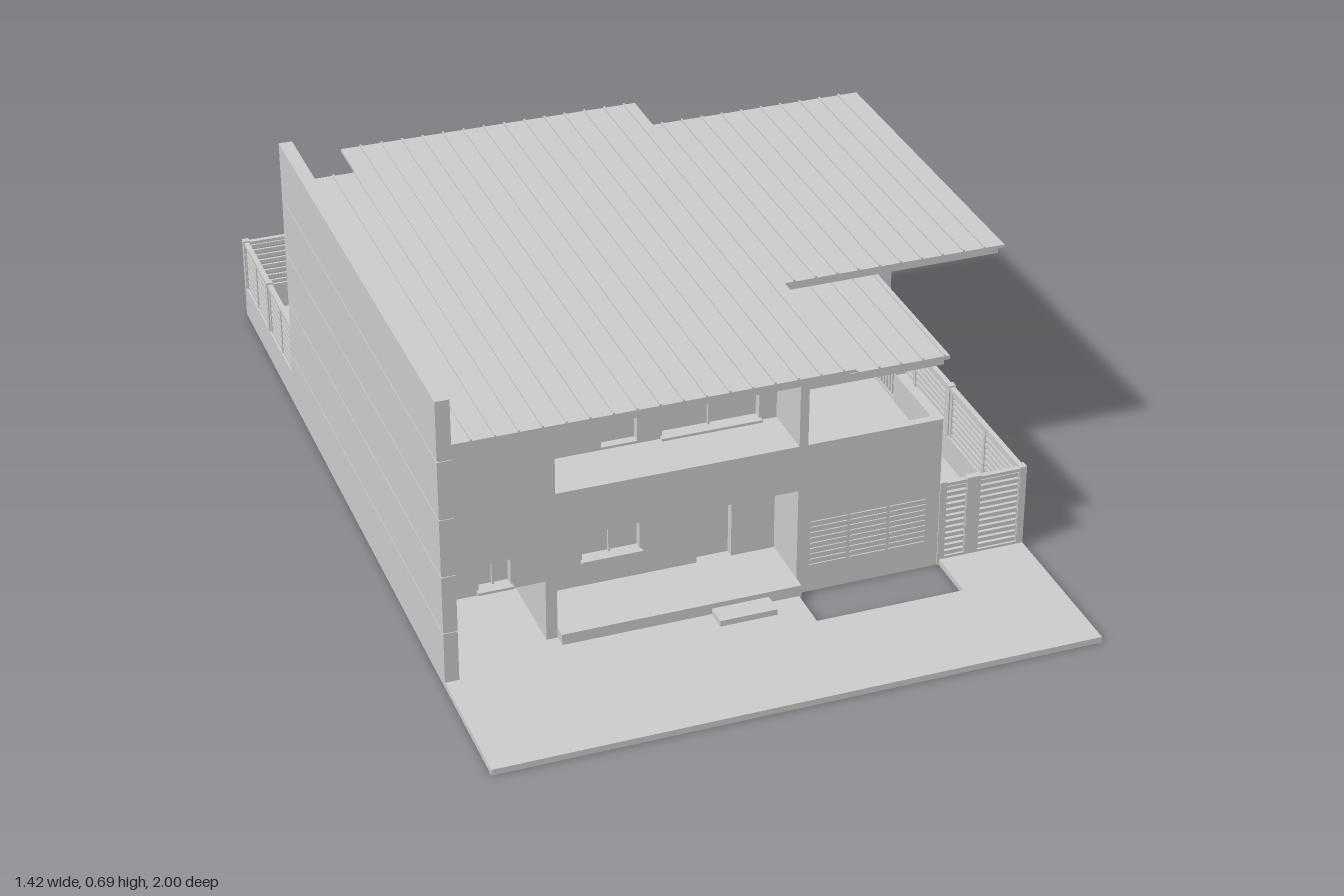
import * as THREE from 'three';

const mat = new THREE.MeshStandardMaterial({ color: 0xcccccc, flatShading: true });
const T = 0.02; // wall thickness

function add(parent, name, geo) {
  const m = new THREE.Mesh(geo, mat);
  m.name = name;
  parent.add(m);
  return m;
}

// box given by its min/max on each axis
function box(parent, name, x0, x1, y0, y1, z0, z1) {
  const m = add(parent, name, new THREE.BoxGeometry(x1 - x0, y1 - y0, z1 - z0));
  m.position.set((x0 + x1) / 2, (y0 + y1) / 2, (z0 + z1) / 2);
  return m;
}

function rectPath(Type, x0, x1, y0, y1) {
  const p = new Type();
  p.moveTo(x0, y0); p.lineTo(x1, y0); p.lineTo(x1, y1); p.lineTo(x0, y1); p.closePath();
  return p;
}

// horizontal plate from an outline of [x, z] points
function plate(parent, name, pts, y0, y1, hole) {
  const s = new THREE.Shape(pts.map(([x, z]) => new THREE.Vector2(x, -z)));
  if (hole) s.holes.push(rectPath(THREE.Path, hole[0], hole[1], -hole[3], -hole[2]));
  const g = new THREE.ExtrudeGeometry(s, { depth: y1 - y0, bevelEnabled: false });
  g.rotateX(-Math.PI / 2);
  add(parent, name, g).position.y = y0;
}

// wall panel facing front, back or right; openings are [a0, a1, y0, y1, isWindow]
function wall(parent, name, facing, at, a0, a1, y0, y1, openings = []) {
  const g = new THREE.Group();
  g.name = name;
  const span = (p, q) => (facing === 'front' ? [p, q] : [-q, -p]);
  const shape = rectPath(THREE.Shape, ...span(a0, a1), y0, y1);
  for (const [p, q, b, t, isWindow] of openings) {
    const [u0, u1] = span(p, q);
    shape.holes.push(rectPath(THREE.Path, u0, u1, b, t));
    if (!isWindow) continue;
    const m = (u0 + u1) / 2;
    box(g, 'windowSill', u0 - 0.004, u1 + 0.004, b - 0.006, b, -T, 0.012);
    box(g, 'windowMullion', m - 0.002, m + 0.002, b, t, -T, -0.012);
    box(g, 'windowTransom', u0, u1, t - 0.004, t, -T, -0.012);
  }
  const geo = new THREE.ExtrudeGeometry(shape, { depth: T, bevelEnabled: false });
  geo.translate(0, 0, -T);
  add(g, name + 'Panel', geo);
  g.rotation.y = { front: 0, back: Math.PI, right: Math.PI / 2 }[facing];
  if (facing === 'right') g.position.x = at; else g.position.z = at;
  parent.add(g);
}

// slatted fence from (x0,z0) to (x1,z1) on a solid base
function fence(parent, name, x0, z0, x1, z1, panels, base, split = true) {
  const g = new THREE.Group();
  g.name = name;
  const L = Math.hypot(x1 - x0, z1 - z0), w = L / panels, top = 0.21;
  box(g, 'fenceBase', 0, L, 0, base, -0.008, 0.008);
  for (let i = 0; i <= panels; i++) {
    const c = Math.min(Math.max(i * w, 0.008), L - 0.008);
    box(g, 'fencePost', c - 0.008, c + 0.008, base, top, -0.008, 0.008);
  }
  const rows = Math.round((top - base) / 0.0165), pitch = (top - base - 0.01) / rows;
  for (let i = 0; i < panels; i++) {
    const a = i * w + 0.008, b = a + w - 0.016, m = (a + b) / 2;
    box(g, 'fenceTopRail', a, b, top - 0.012, top - 0.004, -0.006, 0.006);
    for (const c of split ? [a + 0.006, m, b - 0.006] : [a + 0.004, b - 0.004])
      box(g, 'fenceStile', c - 0.005, c + 0.005, base, top - 0.01, -0.005, 0.005);
    for (let r = 0; r < rows; r++) {
      const y = base + r * pitch;
      box(g, 'fenceSlat', a, b, y, y + pitch * 0.62, -0.003, 0.003);
    }
  }
  g.position.set(x0, 0, z0);
  g.rotation.y = -Math.atan2(z1 - z0, x1 - x0);
  parent.add(g);
}

export function createModel() {
  const house = new THREE.Group();
  house.name = 'house';

  // ground slab with planting opening
  plate(house, 'groundSlab', [[-0.71, 1], [0.635, 1], [0.635, -1], [-0.71, -1]], 0, 0.014, [0.095, 0.435, 0.61, 0.74]);

  // tall party wall made of stacked panels with thin joints
  box(house, 'partyWallCore', -0.707, -0.68, 0, 0.683, -0.532, 0.683);
  for (let i = 0; i < 5; i++)
    box(house, 'partyWallPanel', -0.71, -0.679, i * 0.137, (i + 1) * 0.137 - (i < 4 ? 0.003 : 0), -0.535, 0.685);

  // solid inner volumes that also act as the glazing behind the wall openings
  const core = (...b) => box(house, 'innerVolume', ...b);
  core(-0.68, 0.1, 0, 0.56, -0.435, 0.2);
  core(-0.44, 0.1, 0, 0.56, 0.2, 0.46);
  core(-0.68, -0.44, 0.16, 0.56, 0.2, 0.59);
  core(0.1, 0.41, 0, 0.56, -0.435, 0.21);
  core(0.1, 0.41, 0, 0.3, 0.21, 0.59);
  core(0.1, 0.12, 0.3, 0.56, 0.21, 0.59);
  core(0.41, 0.62, 0, 0.56, -0.435, -0.16);
  box(house, 'porchColumn', -0.465, -0.44, 0, 0.26, 0.2, 0.6);
  box(house, 'floorBand', -0.44, 0.1, 0.26, 0.37, 0.46, 0.6);
  box(house, 'loggiaCeiling', -0.44, 0.1, 0.52, 0.56, 0.46, 0.6);

  // front walls
  wall(house, 'frontWall', 'front', 0.61, -0.69, 0.12, 0, 0.56, [
    [-0.68, -0.465, 0.006, 0.16], [-0.44, 0.1, 0.006, 0.26],
    [-0.44, 0.1, 0.37, 0.52], [-0.61, -0.54, 0.172, 0.232, true]]);
  wall(house, 'porchBackWall', 'front', 0.48, -0.44, 0.1, 0, 0.26,
    [[-0.34, -0.21, 0.106, 0.22, true], [-0.08, 0, 0.04, 0.22]]);
  wall(house, 'loggiaBackWall', 'front', 0.48, -0.44, 0.1, 0.37, 0.52,
    [[-0.295, -0.215, 0.376, 0.48], [-0.16, 0.06, 0.376, 0.48, true]]);
  wall(house, 'lowerFrontWall', 'front', 0.61, 0.12, 0.43, 0, 0.37);
  wall(house, 'balconyBackWall', 'front', 0.23, 0.12, 0.43, 0.3, 0.56, [[0.16, 0.36, 0.305, 0.47]]);
  wall(house, 'wingFrontWall', 'front', -0.14, 0.43, 0.64, 0, 0.56,
    [[0.5, 0.56, 0.365, 0.42, true], [0.5, 0.56, 0.105, 0.17, true]]);

  // right walls
  wall(house, 'rightWall', 'right', 0.43, -0.16, 0.23, 0, 0.56, [
    [0.105, 0.165, 0.365, 0.44, true], [-0.12, 0, 0.365, 0.44, true],
    [0.105, 0.165, 0.11, 0.2, true], [-0.09, -0.01, 0.02, 0.2]]);
  wall(house, 'lowerRightWall', 'right', 0.43, 0.23, 0.61, 0, 0.3, [[0.32, 0.45, 0.13, 0.2, true]]);
  wall(house, 'wingRightWall', 'right', 0.64, -0.455, -0.14, 0, 0.56,
    [[-0.38, -0.32, 0.365, 0.43, true], [-0.38, -0.32, 0.107, 0.18, true]]);

  // back wall
  wall(house, 'backWall', 'back', -0.455, -0.68, 0.64, 0, 0.56, [
    [0.53, 0.6, 0.365, 0.43, true], [0.53, 0.6, 0.107, 0.18, true], [0.2, 0.32, 0.13, 0.2, true],
    [-0.61, -0.55, 0.365, 0.43, true], [-0.61, -0.55, 0.107, 0.18, true],
    [-0.29, -0.2, 0.05, 0.22], [-0.19, -0.1, 0.05, 0.22], [-0.09, 0, 0.05, 0.22]]);

  // projecting bay on the back with an open corner
  const panes = [[0.012, 0.1, 0.385, 0.54]];
  for (let i = 0; i < 4; i++) panes.push([-0.455 + i * 0.115, -0.347 + i * 0.115, 0.385, 0.54]);
  wall(house, 'bayWall', 'back', -0.585, -0.47, 0.12, 0.26, 0.56, panes);
  box(house, 'bayVolume', -0.47, 0, 0.26, 0.56, -0.567, -0.45);
  box(house, 'bayBalconyFloor', 0, 0.12, 0.26, 0.3, -0.567, -0.45);
  box(house, 'baySide', 0.1, 0.12, 0.26, 0.56, -0.567, -0.45);

  // balcony: side parapet, slatted screen and its own roof
  box(house, 'balconyParapet', 0.41, 0.43, 0.3, 0.37, 0.4, 0.6);
  box(house, 'screenBottomRail', 0.412, 0.432, 0.298, 0.306, 0.23, 0.405);
  box(house, 'screenPost', 0.41, 0.432, 0.3, 0.505, 0.397, 0.405);
  for (let i = 0; i < 11; i++)
    box(house, 'screenSlat', 0.414, 0.43, 0.3, 0.505, 0.236 + i * 0.015, 0.244 + i * 0.015);
  box(house, 'balconyRoofFascia', 0.12, 0.425, 0.505, 0.522, 0.23, 0.61);
  box(house, 'balconyRoof', 0.12, 0.433, 0.522, 0.531, 0.23, 0.62);
  for (let x = 0.17; x < 0.43; x += 0.05) box(house, 'balconyRoofSeam', x, x + 0.004, 0.53, 0.535, 0.23, 0.62);

  // main roof: fascia, sheet and standing seams
  const outline = (d) => [[-0.68, 0.687 - d], [0.19 - d, 0.687 - d], [0.19 - d, 0.295 - d], [0.71 - d, 0.295 - d],
    [0.71 - d, -0.535 + d], [0.19 - d, -0.535 + d], [0.19 - d, -0.662 + d], [-0.535 + d, -0.662 + d],
    [-0.535 + d, -0.535 + d], [-0.68, -0.535 + d]];
  plate(house, 'roofFascia', outline(0.01), 0.558, 0.575);
  plate(house, 'roofSheet', outline(0), 0.575, 0.582);
  for (let x = -0.64; x < 0.7; x += 0.05)
    box(house, 'roofSeam', x, x + 0.004, 0.581, 0.586, x > -0.535 && x < 0.185 ? -0.662 : -0.535, x < 0.185 ? 0.687 : 0.295);

  // porch deck and steps, side plinth, back deck
  box(house, 'porchDeck', -0.44, 0.1, 0.01, 0.04, 0.46, 0.64);
  box(house, 'porchStep', -0.105, 0.025, 0.01, 0.028, 0.64, 0.69);
  box(house, 'carportStep', -0.57, -0.465, 0.01, 0.03, 0.2, 0.4);
  box(house, 'sidePath', 0.43, 0.51, 0.01, 0.025, -0.14, 0.6);
  box(house, 'backDeck', -0.5, 0.1, 0.01, 0.048, -0.72, -0.45);

  // fine horizontal battens on the lower front wall
  for (let r = 0; r < 9; r++)
    for (let c = 0; c < 3; c++) {
      const x = 0.13 + c * 0.092, y = 0.065 + r * 0.0135;
      box(house, 'wallBatten', x, x + 0.084, y, y + 0.004, 0.605, 0.613);
    }

  // fences around the plot
  fence(house, 'frontGate', 0.43, 0.605, 0.51, 0.605, 1, 0.02, false);
  fence(house, 'frontFence', 0.51, 0.605, 0.635, 0.605, 1, 0.02, false);
  fence(house, 'rightFence', 0.627, 0.61, 0.627, -0.14, 2, 0.08);
  fence(house, 'backRightFence', 0.627, -0.455, 0.627, -1, 2, 0.08);
  fence(house, 'backFence', -0.71, -0.992, 0.635, -0.992, 4, 0.08);
  fence(house, 'backLeftFence', -0.702, -0.53, -0.702, -1, 2, 0.08);

  return house;
}
